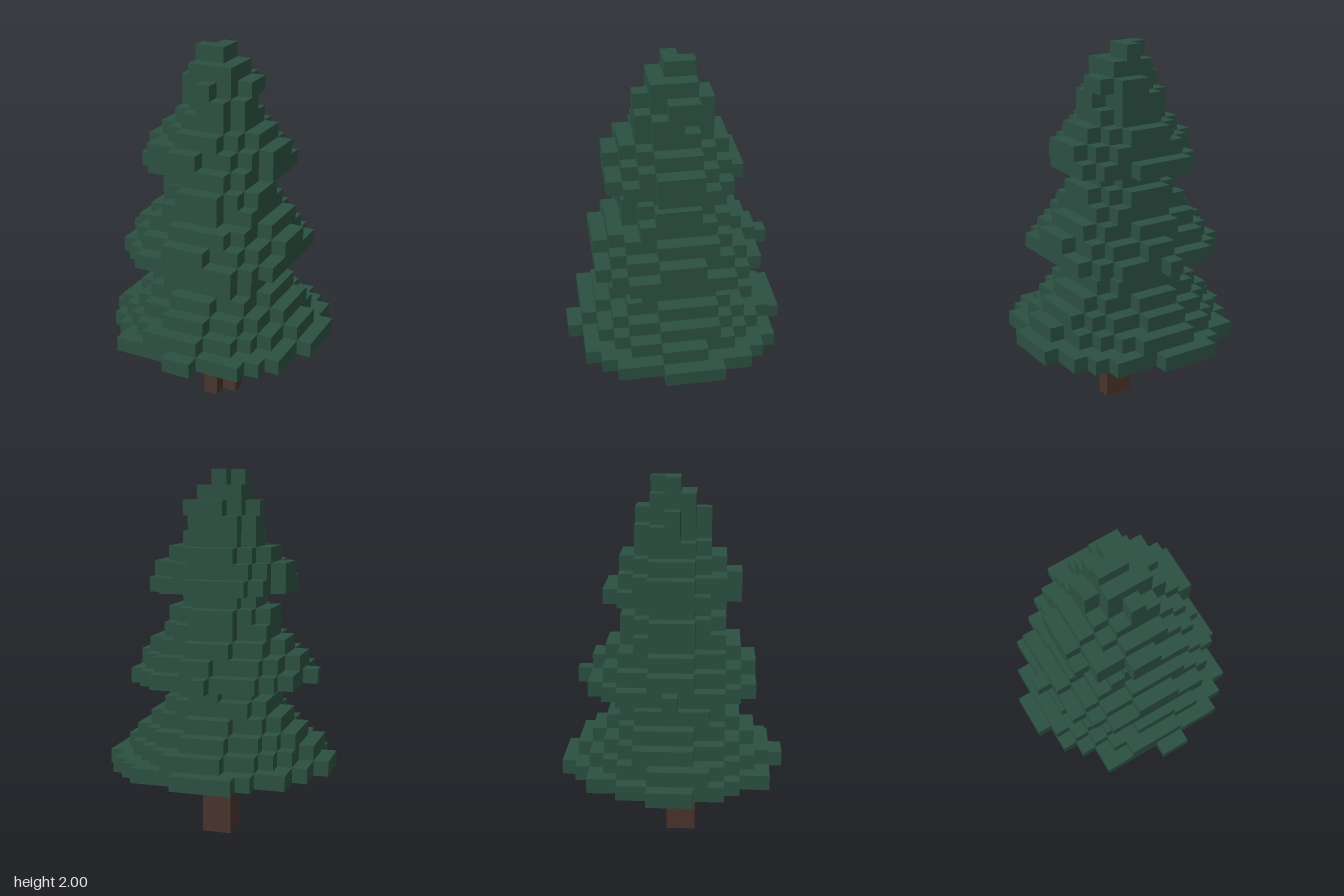
import * as THREE from 'three';
import { mergeGeometries } from 'three/addons/utils/BufferGeometryUtils.js';

const CELL = 0.08;
const FOLIAGE_BASE = 5; // first foliage layer, counted in cells from the ground

// Row spans [first x, last x] of the widest, lowest layer, from back (z = -7) to front (z = 7)
const skirtRows = [
  [-2, 1], [-3, 4], [-5, 5], [-5, 6], [-6, 6], [-6, 7], [-7, 7], [-7, 7],
  [-7, 7], [-6, 6], [-6, 6], [-5, 6], [-4, 5], [-4, 4], [0, 1],
];

// Following layers in cells: squared radius, then reach [-x, +x, -z, +z]
const roundLayers = [
  [40, [6, 6, 6, 6]], [29, [5, 5, 5, 5]], [20, [4, 4, 4, 4]], [13.5, [3, 3, 3, 3]], [10, [2, 3, 3, 3]],
  [35, [6, 5, 6, 5]], [26.5, [5, 5, 5, 5]], [19.5, [4, 4, 4, 4]], [13.5, [3, 3, 3, 3]],
  [10.5, [3, 3, 3, 3]], [6, [2, 2, 2, 2]],
  [20, [4, 4, 4, 4]], [17.5, [4, 4, 3, 4]], [11, [3, 3, 3, 3]], [6.5, [2, 2, 2, 2]],
  [5.5, [2, 2, 2, 2]], [4.6, [2, 2, 2, 2]], [3, [1, 1, 1, 1]],
];

// Box covering cells x0..x1, z0..z1 and layers y0..y1 inclusive
function block(x0, x1, y0, y1, z0, z1) {
  const g = new THREE.BoxGeometry((x1 - x0 + 1) * CELL, (y1 - y0 + 1) * CELL, (z1 - z0 + 1) * CELL);
  return g.translate((x0 + x1) / 2 * CELL, (y0 + y1 + 1) / 2 * CELL, (z0 + z1) / 2 * CELL);
}

// Turn row spans into blocks, joining equal neighbouring rows
function rowsToBlocks(rows, zStart, layer) {
  const blocks = [];
  for (let i = 0; i < rows.length;) {
    let j = i;
    while (j + 1 < rows.length && rows[j + 1][0] === rows[i][0] && rows[j + 1][1] === rows[i][1]) j++;
    blocks.push(block(rows[i][0], rows[i][1], layer, layer, zStart + i, zStart + j));
    i = j + 1;
  }
  return blocks;
}

// Small seeded generator for the ragged rim
function seeded(seed) {
  return () => {
    seed = (seed * 16807) % 2147483647;
    return seed / 2147483647;
  };
}

// Disc of cells with an uneven rim, cut off at its reach on each side
function roundRows(radiusSq, [left, right, back, front], random) {
  const rows = [];
  for (let z = -back; z <= front; z++) {
    const end = (reach) => {
      if (z === 0) return reach;
      const limit = radiusSq + random() * 2 - 1;
      let x = 0;
      while (x < reach && (x + 1) ** 2 + z * z <= limit) x++;
      return x;
    };
    rows.push([-end(left), end(right)]);
  }
  return rows;
}

export function createModel() {
  const model = new THREE.Group();
  model.name = 'pineTree';

  const needleGreen = new THREE.MeshStandardMaterial({ color: 0x2c5042 });
  needleGreen.name = 'needleGreen';
  const barkBrown = new THREE.MeshStandardMaterial({ color: 0x4a342d });
  barkBrown.name = 'barkBrown';

  const addPart = (name, blocks, material) => {
    const mesh = new THREE.Mesh(mergeGeometries(blocks), material);
    mesh.name = name;
    model.add(mesh);
  };

  // L-shaped trunk
  addPart('trunk', [block(0, 1, 0, 4, 0, 0), block(0, 0, 0, 4, 1, 1)], barkBrown);

  // Three stacked tiers of foliage
  const random = seeded(4711);
  const layers = [rowsToBlocks(skirtRows, -7, FOLIAGE_BASE)];
  roundLayers.forEach(([radiusSq, reach], i) => {
    layers.push(rowsToBlocks(roundRows(radiusSq, reach, random), -reach[2], FOLIAGE_BASE + 1 + i));
  });
  addPart('lowerFoliage', layers.slice(0, 6).flat(), needleGreen);
  addPart('middleFoliage', layers.slice(6, 12).flat(), needleGreen);
  addPart('upperFoliage', layers.slice(12).flat(), needleGreen);

  // L-shaped tip, open at the back right corner
  addPart('treeTip', [block(-1, 0, 24, 24, 0, 0), block(0, 0, 24, 24, -1, -1)], needleGreen);

  return model;
}
